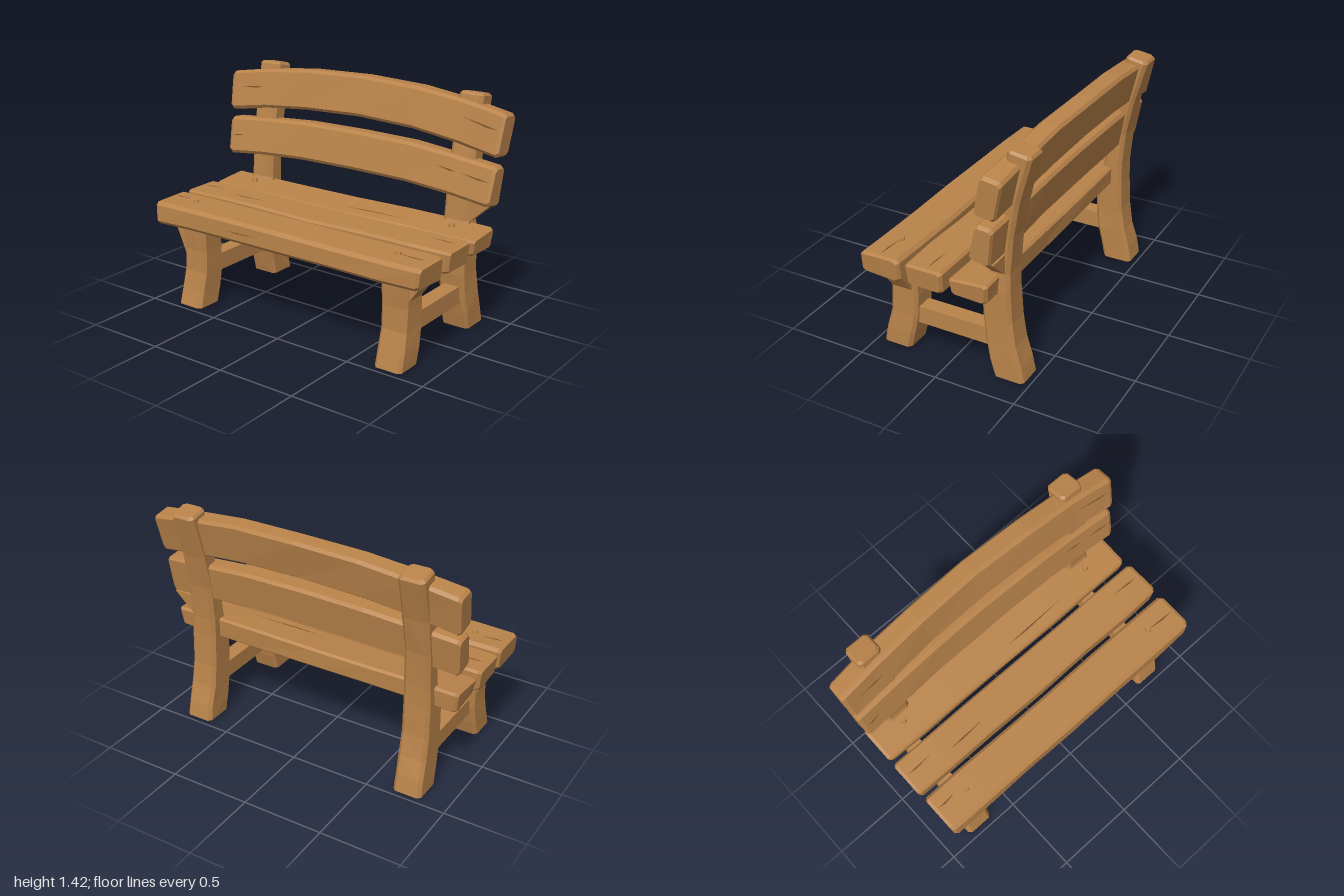
import * as THREE from 'three';

const wood = new THREE.MeshStandardMaterial({ color: 0xb9834a, flatShading: true });
wood.name = 'wood';
const crackWood = new THREE.MeshStandardMaterial({ color: 0x7a5229, side: THREE.DoubleSide });
crackWood.name = 'dark crack';

let seed = 7;
const wobble = (a) => {
  seed = (seed * 16807) % 2147483647;
  return (seed / 2147483647 - 0.5) * 2 * a;
};
const V = (x, y, z) => new THREE.Vector3(x, y, z);

function addMesh(group, name, geometry, material = wood) {
  const mesh = new THREE.Mesh(geometry, material);
  mesh.name = name;
  group.add(mesh);
  return mesh;
}

// Four corners become an eight-sided ring with cut corners
function chamfer(quad, c) {
  const ring = [];
  quad.forEach((p, i) => {
    for (const q of [quad[(i + 3) % 4], quad[(i + 1) % 4]]) {
      ring.push(p.clone().add(q.clone().sub(p).setLength(c)));
    }
  });
  return ring;
}

const middle = (ring) => ring.reduce((s, p) => s.add(p), V(0, 0, 0)).divideScalar(ring.length);

// Smaller copy of a ring, used for worn ends
function shrink(ring, amount, shift) {
  const m = middle(ring);
  return ring.map((p) => {
    const d = p.clone().sub(m);
    return d.setLength(Math.max(d.length() - amount, 0.01)).add(m).add(shift);
  });
}

// Skin a row of rings and close both ends
function loft(rings) {
  const n = rings[0].length;
  const tris = [];
  for (let r = 0; r < rings.length - 1; r++) {
    for (let i = 0; i < n; i++) {
      const j = (i + 1) % n;
      const [a, b, c, d] = [rings[r][i], rings[r][j], rings[r + 1][j], rings[r + 1][i]];
      tris.push([a, b, c], [a, c, d]);
    }
  }
  const first = rings[0], last = rings[rings.length - 1];
  const m0 = middle(first), m1 = middle(last);
  for (let i = 0; i < n; i++) {
    const j = (i + 1) % n;
    tris.push([m0, first[j], first[i]], [m1, last[i], last[j]]);
  }
  // Turn the skin outward if it came out reversed
  const centre = middle(rings.map(middle));
  let volume = 0;
  for (const [a, b, c] of tris) {
    volume += a.clone().sub(centre).dot(b.clone().sub(centre).cross(c.clone().sub(centre)));
  }
  if (volume < 0) tris.forEach((t) => t.reverse());
  const geometry = new THREE.BufferGeometry().setFromPoints(tris.flat());
  geometry.computeVertexNormals();
  return geometry;
}

// Plank along x. section: front bottom, front top, back top, back bottom as [z, y]
function plank(group, name, { half, section, rise = 0, sweep = 0, cut = 0.014, cracks = [] }) {
  const stations = [-1, -0.72, -0.4, 0, 0.4, 0.72, 1].map((t) => {
    const bow = 1 - t * t;
    return section.map(([z, y], i) => V(
      t * half * (i === 0 || i === 3 ? 0.985 : 1),
      y + rise * bow + wobble(0.005),
      z + sweep * bow + wobble(0.005)));
  });
  const rings = stations.map((q) => chamfer(q, cut));
  rings[0].forEach((p) => { p.x += 0.02; });
  rings[6].forEach((p) => { p.x -= 0.02; });
  const start = shrink(rings[0], 0.016, V(-0.02, 0, 0));
  const end = shrink(rings[6], 0.016, V(0.02, 0, 0));
  addMesh(group, name, loft([start, ...rings, end]));

  // Thin tapering cracks: face (0 front, 1 top), x from, x to, place across the face
  for (const [face, x0, x1, across] of cracks) {
    const at = (x, s) => {
      let k = 0;
      while (k < 5 && stations[k + 1][face].x < x) k++;
      const edge = (i) => {
        const a = stations[k][i], b = stations[k + 1][i];
        return a.clone().lerp(b, (x - a.x) / (b.x - a.x));
      };
      const lift = face === 0 ? V(0, 0, 0.004) : V(0, 0.004, 0);
      return edge(face).lerp(edge(face + 1), s).add(lift);
    };
    const mid = x0 + (x1 - x0) * 0.35;
    const tris = [at(x0, across), at(mid, across - 0.025), at(mid, across + 0.02),
      at(mid, across - 0.025), at(x1, across + 0.03), at(mid, across + 0.02)];
    const geometry = new THREE.BufferGeometry().setFromPoints(tris);
    geometry.computeVertexNormals();
    addMesh(group, name + 'Crack', geometry, crackWood);
  }
}

// Upright post. Rows: y, front z, back z, inner x, outer x
function post(group, name, side, rows, tilt = 0) {
  const rings = rows.map(([y, zf, zb, xi, xo], r) => {
    const a = r === 0 ? 0 : 0.004;
    const top = r === rows.length - 1 ? tilt : 0;
    return chamfer([
      V(side * xi + wobble(a), y, zf + wobble(a)), V(side * xo + wobble(a), y, zf + wobble(a)),
      V(side * xo + wobble(a), y - top, zb + wobble(a)), V(side * xi + wobble(a), y - top, zb + wobble(a)),
    ], 0.02);
  });
  rings.push(shrink(rings[rings.length - 1], 0.015, V(0, 0.015, 0)));
  addMesh(group, name, loft(rings));
}

// Triangular flare where a post meets a board
function flare(group, name, x, y0, y1, reach, z0, z1) {
  const shape = new THREE.Shape([
    new THREE.Vector2(x, y0), new THREE.Vector2(x + reach, y1), new THREE.Vector2(x, y1)]);
  const geometry = new THREE.ExtrudeGeometry(shape, { depth: z1 - z0, bevelEnabled: false });
  addMesh(group, name, geometry.translate(0, 0, z0));
}

export function createModel() {
  const bench = new THREE.Group();
  bench.name = 'bench';

  // Seat
  plank(bench, 'frontSeatPlank', {
    half: 0.96, section: [[0.505, 0.525], [0.5, 0.66], [0.24, 0.66], [0.245, 0.515]], cut: 0.02,
    cracks: [[1, -0.93, -0.8, 0.6], [1, 0.93, 0.72, 0.5], [0, -0.38, -0.12, 0.5]],
  });
  plank(bench, 'middleSeatPlank', {
    half: 0.965, section: [[0.2, 0.535], [0.205, 0.66], [-0.035, 0.662], [-0.03, 0.525]],
    cracks: [[1, -0.65, -0.38, 0.35], [1, 0.93, 0.74, 0.6], [1, -0.93, -0.76, 0.55]],
  });
  plank(bench, 'backSeatPlank', {
    half: 0.96, section: [[-0.08, 0.545], [-0.07, 0.645], [-0.315, 0.668], [-0.31, 0.535]],
    cracks: [[1, 0.03, 0.5, 0.3]],
  });

  // Arched backrest boards
  plank(bench, 'lowerBackBoard', {
    half: 0.98, section: [[-0.21, 0.81], [-0.255, 1.04], [-0.37, 1.03], [-0.335, 0.785]],
    rise: 0.05, sweep: -0.025, cut: 0.018,
    cracks: [[0, 0.73, 0.59, 0.62], [0, 0.95, 0.75, 0.6], [0, -0.94, -0.85, 0.5]],
  });
  plank(bench, 'upperBackBoard', {
    half: 1, section: [[-0.255, 1.09], [-0.31, 1.335], [-0.435, 1.32], [-0.385, 1.07]],
    rise: 0.09, sweep: -0.035, cut: 0.018,
    cracks: [[0, -0.73, -0.91, 0.55], [0, 0.97, 0.73, 0.6]],
  });

  for (const side of [-1, 1]) {
    // Splayed front leg
    post(bench, 'frontLeg', side, [
      [0, 0.46, 0.275, 0.65, 0.83],
      [0.1, 0.435, 0.245, 0.65, 0.83],
      [0.22, 0.405, 0.225, 0.65, 0.825],
      [0.36, 0.4, 0.22, 0.65, 0.825],
      [0.54, 0.41, 0.235, 0.65, 0.825],
    ]);
    // Back post, curving up behind the boards
    post(bench, 'backPost', side, [
      [0, -0.275, -0.465, 0.65, 0.83],
      [0.1, -0.25, -0.445, 0.65, 0.83],
      [0.22, -0.225, -0.41, 0.65, 0.825],
      [0.36, -0.21, -0.385, 0.65, 0.82],
      [0.56, -0.2, -0.375, 0.65, 0.82],
      [0.68, -0.25, -0.375, 0.65, 0.815],
      [0.9, -0.27, -0.39, 0.65, 0.815],
      [1.12, -0.305, -0.43, 0.655, 0.815],
      [1.405, -0.36, -0.5, 0.66, 0.815],
    ], 0.025);
    // Rail between front leg and back post
    const rail = addMesh(bench, 'sideRail', new THREE.BoxGeometry(0.1, 0.11, 0.5));
    rail.position.set(side * 0.745, 0.23, 0);
    // Peg heads on the seat
    for (const z of [0.36, -0.2]) {
      const peg = addMesh(bench, 'peg', new THREE.CylinderGeometry(0.018, 0.022, 0.02, 6));
      peg.position.set(side * 0.74, 0.664, z);
    }
  }

  // Flares at the joints
  flare(bench, 'frontLegFlare', -0.815, 0.3, 0.53, -0.1, 0.25, 0.38);
  flare(bench, 'frontLegFlare', 0.815, 0.39, 0.53, 0.1, 0.25, 0.38);
  flare(bench, 'backPostFlare', 0.805, 0.67, 0.8, 0.14, -0.35, -0.27);

  return bench;
}
